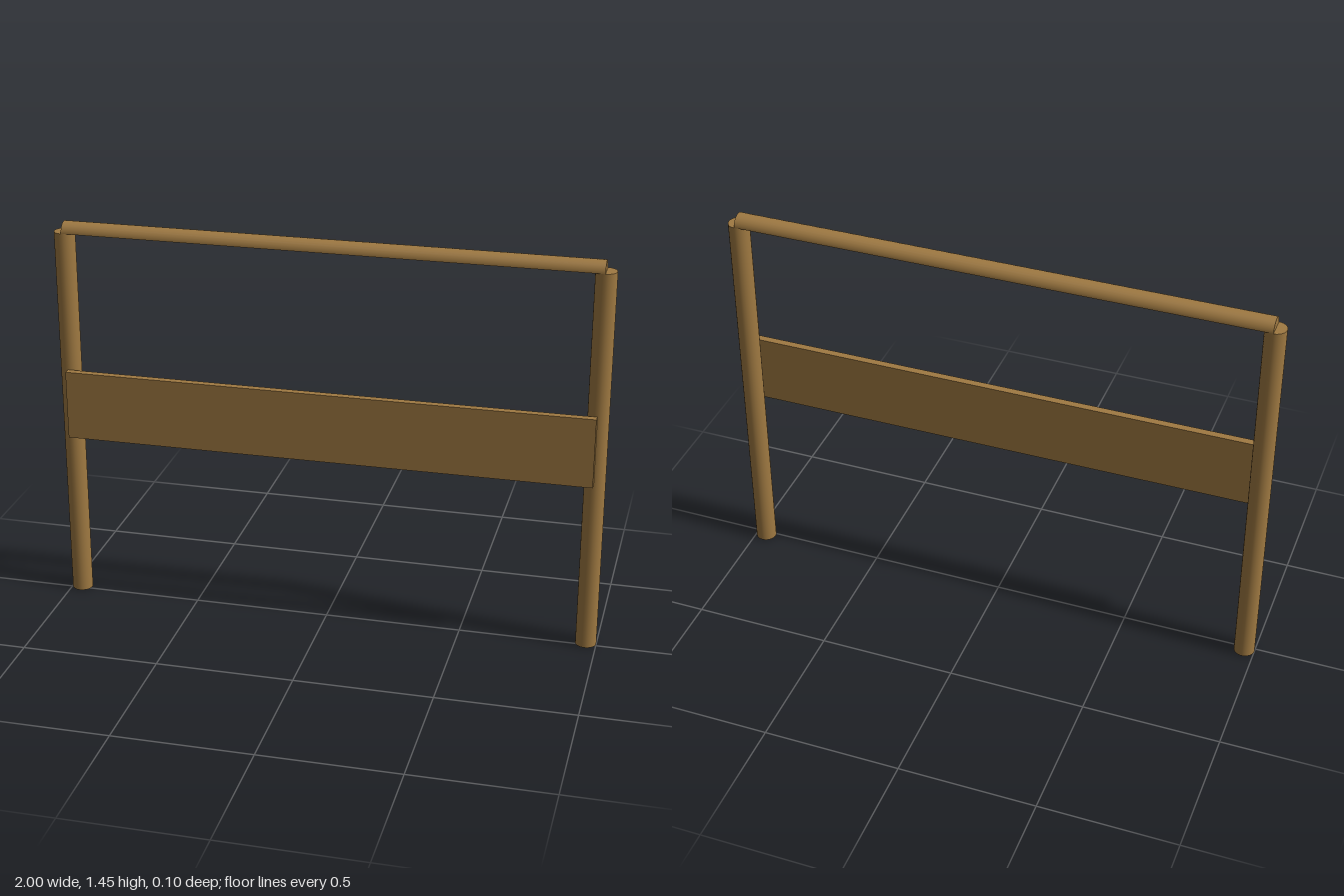
import * as THREE from 'three';
import { mergeGeometries } from 'three/addons/utils/BufferGeometryUtils.js';

export function createModel() {
  const model = new THREE.Group();
  model.name = 'postAndRailFence';
  const wood = new THREE.MeshStandardMaterial({ color: 0xa07a42 });
  wood.name = 'brown wood';

  const radius = 0.038, postHeight = 1.412, postX = 1 - radius;
  const postZ = -0.0135, length = postX * 2;

  function add(name, geometry, x, y, z) {
    const mesh = new THREE.Mesh(geometry, wood);
    mesh.name = name;
    mesh.position.set(x, y, z);
    model.add(mesh);
  }

  // Round posts
  const post = new THREE.CylinderGeometry(radius, radius, postHeight, 24);
  add('leftPost', post, postX, postHeight / 2, postZ);
  add('rightPost', post, -postX, postHeight / 2, postZ);

  // Half-round top rail with a flat underside
  const dome = new THREE.CylinderGeometry(radius, radius, length, 12, 1, false, 0, Math.PI);
  dome.rotateZ(Math.PI / 2);
  const underside = new THREE.PlaneGeometry(length, radius * 2);
  underside.rotateX(Math.PI / 2);
  add('topRail', mergeGeometries([dome, underside]), 0, postHeight, postZ);

  // Flat board fixed to the front of the posts
  const thickness = 0.027;
  add('frontBoard', new THREE.BoxGeometry(length, 0.256, thickness),
    0, 0.77, postZ + radius + thickness / 2);

  return model;
}
